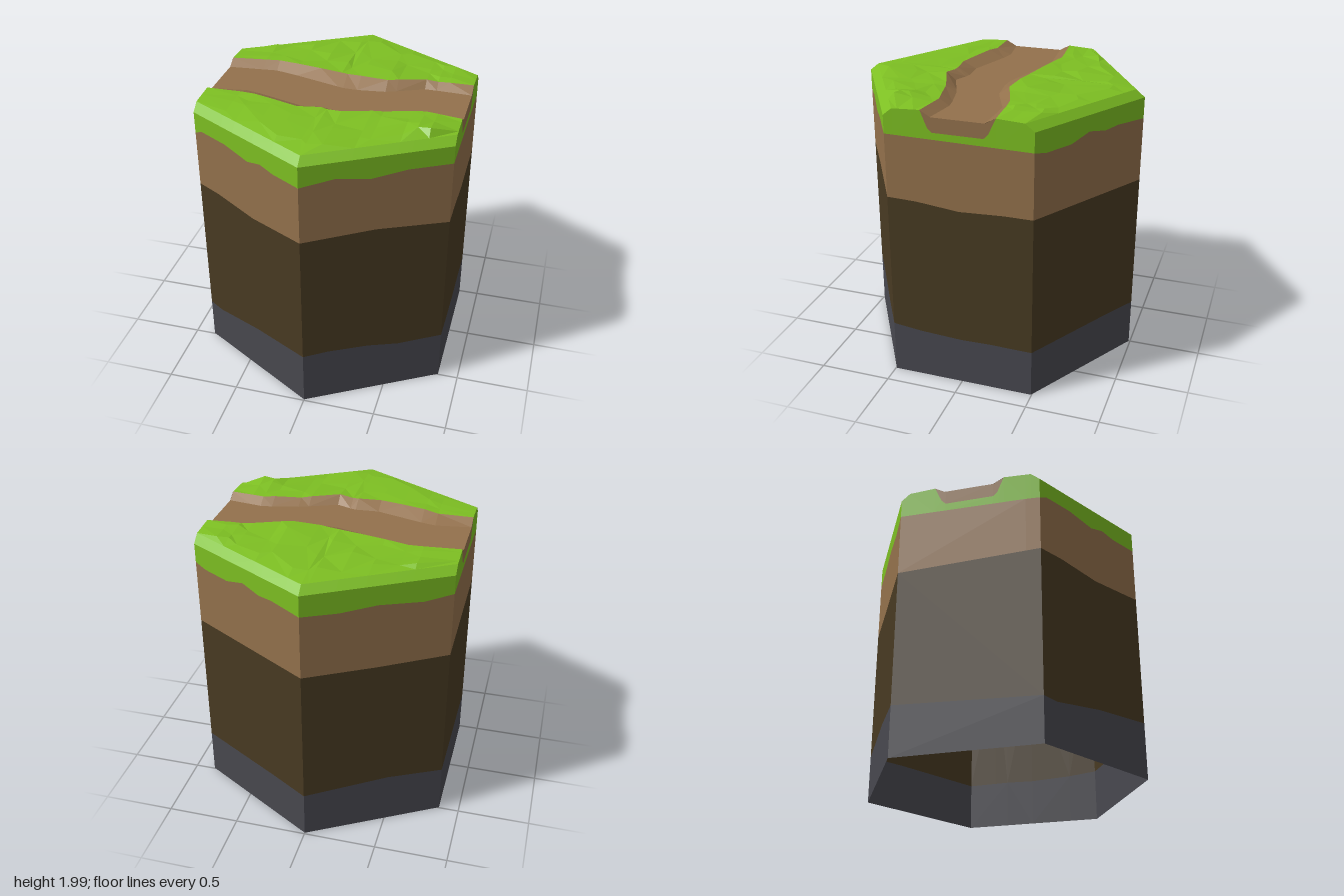
import * as THREE from 'three';

const paint = (name, color) =>
  new THREE.MeshStandardMaterial({ name, color, flatShading: true, side: THREE.DoubleSide });

// Piecewise linear lookup in a list of [position, value] pairs
function lerpList(list, p) {
  for (let i = 1; i < list.length; i++) {
    const [a, va] = list[i - 1], [b, vb] = list[i];
    if (p <= b) return va + (vb - va) * (p - a) / (b - a);
  }
  return list[list.length - 1][1];
}

// Surface through rows of points, faceted; rows run bottom to top, points left to right
function loft(name, rows, material) {
  const pos = [];
  for (let j = 0; j + 1 < rows.length; j++) {
    for (let i = 0; i + 1 < rows[j].length; i++) {
      const a = rows[j][i], b = rows[j][i + 1], c = rows[j + 1][i + 1], d = rows[j + 1][i];
      const tris = (i + j) % 2 ? [a, b, c, a, c, d] : [a, b, d, b, c, d];
      tris.forEach(p => pos.push(...p));
    }
  }
  const geo = new THREE.BufferGeometry();
  geo.setAttribute('position', new THREE.Float32BufferAttribute(pos, 3));
  geo.computeVertexNormals();
  const mesh = new THREE.Mesh(geo, material);
  mesh.name = name;
  return mesh;
}

// Hexagon corners, running round from the front left face
const W = 0.86, D = 0.99;
const corners = [[-W, D / 2], [0, D], [W, D / 2], [W, -D / 2], [0, -D], [-W, -D / 2]];
function wallPoint(u, y) {
  const k = Math.floor(u) % 6, f = u - Math.floor(u);
  const a = corners[k], b = corners[(k + 1) % 6];
  return [a[0] + (b[0] - a[0]) * f, y, a[1] + (b[1] - a[1]) * f];
}

// Wavy layer edges: [distance round in faces, height]
const grassEdge = [[0, 1.74], [0.07, 1.77], [0.3, 1.77], [0.53, 1.735], [0.65, 1.765], [0.77, 1.745],
  [1, 1.745], [1.23, 1.775], [1.46, 1.74], [1.7, 1.77], [2, 1.767], [3, 1.757], [3.1, 1.735],
  [3.32, 1.735], [3.48, 1.78], [3.63, 1.75], [3.75, 1.76], [4, 1.745], [4.25, 1.735], [4.5, 1.755],
  [4.8, 1.735], [5, 1.76], [5.9, 1.745], [6, 1.74]];
const dirtEdge = [[0, 1.345], [0.2, 1.345], [0.55, 1.315], [1, 1.34], [1.5, 1.36], [2, 1.33],
  [2.2, 1.325], [2.5, 1.295], [2.8, 1.31], [3, 1.31], [4, 1.303], [4.5, 1.3], [5, 1.31], [6, 1.345]];
const soilEdge = [[0, 0.31], [0.12, 0.3], [0.53, 0.36], [1, 0.395], [1.18, 0.405], [1.46, 0.395],
  [1.68, 0.365], [2, 0.372], [2.2, 0.35], [2.5, 0.335], [2.7, 0.34], [3, 0.335], [3.7, 0.34],
  [4, 0.335], [4.6, 0.37], [5, 0.35], [6, 0.31]];

// Top of the grass walls: level rims, and a notch on the two side faces
const RIM = 1.89, LIP = 1.94, TOP = 1.95, FLOOR = 1.91;
const at = z => 0.5 - z / D;
const notchSide = [[0, RIM], [at(0.435), LIP], [at(0.245), TOP], [at(0.2), 1.84], [at(0.17), 1.81],
  [at(-0.17), 1.81], [at(-0.2), 1.84], [at(-0.25), TOP], [at(-0.435), LIP], [1, RIM]];
const flip = list => list.map(([p, v]) => [1 - p, v]).reverse();
const shift = (list, k) => list.map(([p, v]) => [p + k, v]);
const wallTop = [[0, RIM], [1, RIM], ...shift(notchSide, 2), [4, RIM], ...shift(flip(notchSide), 5)];

// One wall band between two edges
function band(name, low, high, material) {
  const us = [...new Set([...low, ...high].map(e => e[0]))].sort((a, b) => a - b);
  return loft(name, [low, high].map(e => us.map(u => wallPoint(u, lerpList(e, u)))), material);
}

// Path banks in plan: [x, z] at the grass edge and at the path floor
const frontOuter = [[-W, 0.245], [-0.63, 0.24], [-0.2, 0.355], [-0.04, 0.335], [0.1, 0.365],
  [0.34, 0.275], [0.62, 0.21], [W, 0.245]];
const frontInner = [[-W, 0.17], [-0.6, 0.135], [-0.2, 0.26], [-0.03, 0.25], [0.1, 0.3],
  [0.34, 0.2], [0.6, 0.14], [W, 0.18]];
const backOuter = [[-W, -0.25], [-0.53, -0.285], [0.05, -0.17], [0.28, -0.145], [0.53, -0.235], [W, -0.25]];
const backInner = [[-W, -0.18], [-0.5, -0.21], [0.04, -0.05], [0.3, -0.08], [0.55, -0.19], [W, -0.175]];
const xs = [-W, -0.62, -0.52, -0.36, -0.2, -0.04, 0, 0.1, 0.29, 0.36, 0.54, 0.62, 0.7, W];

// Bumpy ground height, level at the side faces
function groundHeight(x, z) {
  if (Math.abs(x) >= W) return TOP;
  const h = Math.sin(x * 127.1 + z * 311.7) * 43758.5;
  const peak = 0.04 * Math.exp(-((x - 0.7) ** 2 + (z - 0.45) ** 2) / 0.012);
  const ridge = 0.016 * Math.exp(-((x - 0.25) ** 2 + (z + 0.25) ** 2) / 0.05);
  return TOP + (h - Math.floor(h)) * 0.016 - 0.003 + peak + ridge;
}

// Rows across a lawn, from the outer rim (s = 1 front, -1 back) in to the path
function lawnRows(outer, s) {
  const rim = xs.map(x => [x, RIM, s * (D - Math.abs(x) * D / (2 * W))]);
  const lip = xs.map(x => [x, LIP, s * (D - 0.06 - Math.abs(x) * D / (2 * W))]);
  const rows = [0.2, 0.5, 0.78, 1].map(t => xs.map((x, i) => {
    const z0 = lip[i][2], z1 = lerpList(outer, x);
    const wobble = t < 1 && Math.abs(x) < W ? 0.07 * Math.sin(i * 2.3 + t * 9) : 0;
    const z = z0 + (z1 - z0) * (t + wobble);
    const y = Math.abs(x) < W ? groundHeight(x, z) : LIP + (TOP - LIP) * t;
    return [x, y, z];
  }));
  return [rim, lip, ...rows];
}

export function createModel() {
  const grass = paint('grass green', 0x7dbf22);
  const dirt = paint('light dirt', 0x93714c);
  const soil = paint('dark soil', 0x483a22);
  const stone = paint('grey stone', 0x48484f);

  const model = new THREE.Group();
  model.name = 'hexagonTile';

  // Layered walls, open underneath
  const base = [[0, 0], [1, 0], [2, 0], [3, 0], [4, 0], [5, 0], [6, 0]];
  model.add(
    band('stoneLayer', base, soilEdge, stone),
    band('soilLayer', soilEdge, dirtEdge, soil),
    band('dirtLayer', dirtEdge, grassEdge, dirt),
    band('grassSides', grassEdge, wallTop, grass));

  // Lawns on each side of the path, with bevelled outer rims
  const front = lawnRows(frontOuter, 1), back = lawnRows(backOuter, -1).reverse();
  model.add(loft('frontLawn', front, grass), loft('backLawn', back, grass));

  // Sunken path with sloping banks
  const floorRow = list => xs.map(x => [x, FLOOR, lerpList(list, x)]);
  const inF = floorRow(frontInner), inB = floorRow(backInner);
  model.add(
    loft('frontBank', [front[front.length - 1], inF], dirt),
    loft('pathFloor', [inF, inB], dirt),
    loft('backBank', [inB, back[0]], dirt));

  // Dirt ends of the path, filling the notches in the side faces
  const bed = [[0, TOP], [at(0.245), TOP], [at(0.175), FLOOR], [at(-0.178), FLOOR], [at(-0.25), TOP], [1, TOP]];
  const cut = notchSide.slice(2, 8);
  const ends = [[2, cut, bed], [5, flip(cut), flip(bed)]];
  for (const [k, low, high] of ends) {
    const us = [...low, ...high.slice(2, 4)].map(e => e[0]).sort((a, b) => a - b);
    const rows = [low, high].map(e => us.map(u => wallPoint(k + u, lerpList(e, u))));
    model.add(loft(k === 2 ? 'leftPathEnd' : 'rightPathEnd', rows, dirt));
  }
  return model;
}
